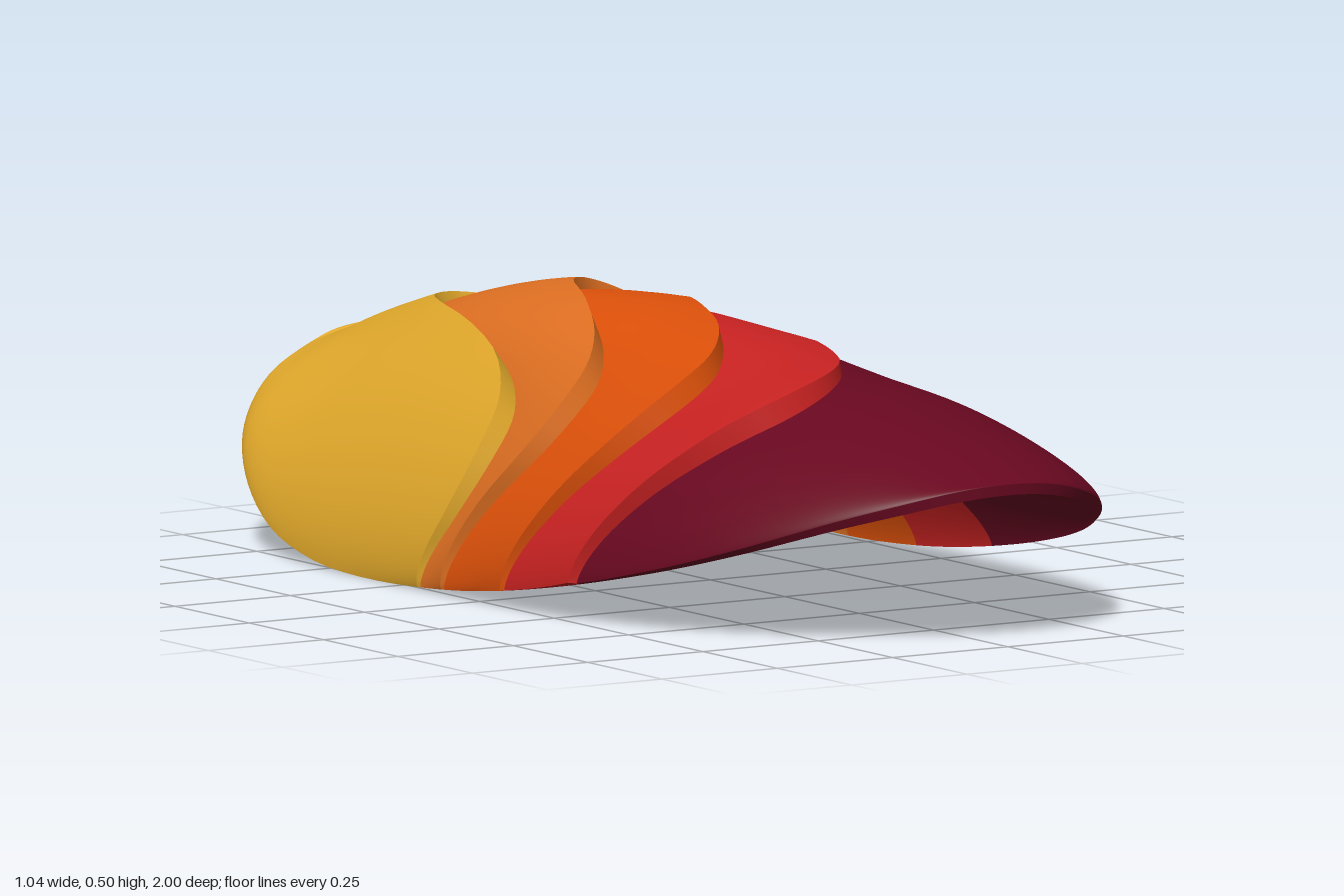
import * as THREE from 'three';
import { mergeGeometries } from 'three/addons/utils/BufferGeometryUtils.js';

const HALF_WIDTH = 0.513;
const COLS = 80;
const BODY_ROWS = 46;

// Smooth curve through [position, value] pairs
function curve(p) {
  const secant = (i) => (p[i + 1][1] - p[i][1]) / (p[i + 1][0] - p[i][0]);
  const last = p.length - 1;
  const slope = p.map((_, i) => {
    if (i === 0) return secant(0);
    if (i === last) return secant(last - 1);
    return (secant(i - 1) + secant(i)) / 2;
  });
  return (v) => {
    const x = Math.min(Math.max(v, p[0][0]), p[last][0]);
    let i = 0;
    while (i < last - 1 && x > p[i + 1][0]) i++;
    const h = p[i + 1][0] - p[i][0];
    const t = (x - p[i][0]) / h, s = 1 - t;
    return (1 + 2 * t) * s * s * p[i][1] + t * s * s * h * slope[i]
      + t * t * (3 - 2 * t) * p[i + 1][1] - t * t * s * h * slope[i + 1];
  };
}

// Height of the underside along the centre line and along the rim, by z
const crest = curve([[-1, 0.345], [-0.84, 0.395], [-0.55, 0.45], [-0.3, 0.461], [0, 0.441],
  [0.3, 0.412], [0.55, 0.392], [0.8, 0.342], [1, 0.28]]);
const rim = curve([[-1, 0.345], [-0.995, 0.315], [-0.97, 0.26], [-0.88, 0.165], [-0.72, 0.06],
  [-0.55, 0.014], [-0.4, 0.002], [-0.1, 0.012], [0.17, 0.045], [0.5, 0.11], [0.7, 0.165],
  [0.87, 0.225], [0.95, 0.256], [1, 0.28]]);

// Height of the step in front of a layer, by x: tallest on the -x side
const stepHeight = curve([[-0.515, 0.045], [-0.4, 0.045], [-0.2, 0.042], [0, 0.024], [0.2, 0.017], [0.515, 0.014]]);
const baseStepHeight = curve([[-0.515, 0.048], [-0.25, 0.05], [-0.1, 0.022], [0.1, 0.006], [0.3, 0], [0.515, 0]]);

// Half width of the outline: blunt at the back, oval at the front
function halfWidth(z) {
  const a = Math.min(Math.abs(z), 1);
  return HALF_WIDTH * (z > 0 ? Math.sqrt(1 - a ** 2.25) : (1 - a ** 5.3) ** 0.23);
}

// Wavy borders between the colour layers, z by x, from front to back
const borders = [
  [[-0.515, 0.3], [-0.4, 0.42], [-0.3, 0.5], [-0.17, 0.545], [-0.05, 0.49], [0.05, 0.36], [0.1, 0.25],
    [0.15, 0.12], [0.2, 0.02], [0.25, -0.05], [0.32, -0.075], [0.4, -0.03], [0.46, 0.05], [0.515, 0.17]],
  [[-0.515, 0.1], [-0.45, 0.18], [-0.35, 0.26], [-0.24, 0.285], [-0.15, 0.25], [-0.08, 0.17], [0, 0.03],
    [0.06, -0.12], [0.12, -0.26], [0.2, -0.34], [0.29, -0.36], [0.37, -0.32], [0.45, -0.22], [0.515, -0.1]],
  [[-0.515, -0.1], [-0.46, -0.03], [-0.4, 0.03], [-0.34, 0.05], [-0.25, 0.02], [-0.18, -0.07], [-0.1, -0.24],
    [-0.03, -0.4], [0.05, -0.5], [0.13, -0.54], [0.22, -0.55], [0.33, -0.53], [0.42, -0.465], [0.515, -0.33]],
  [[-0.515, -0.18], [-0.47, -0.12], [-0.4, -0.095], [-0.33, -0.13], [-0.27, -0.25], [-0.23, -0.4],
    [-0.19, -0.56], [-0.13, -0.7], [-0.05, -0.785], [0.03, -0.825], [0.11, -0.84], [0.2, -0.83],
    [0.3, -0.785], [0.4, -0.7], [0.47, -0.6], [0.515, -0.49]],
].map(curve);

// z where a border meets the lengthwise line u (-1 and 1 are the two long edges)
function borderZ(index, u) {
  if (index < 0) return 1;
  if (index >= borders.length) return -1;
  let lo = -1, hi = 1;
  for (let i = 0; i < 40; i++) {
    const mid = (lo + hi) / 2;
    if (mid < borders[index](u * halfWidth(mid))) lo = mid;
    else hi = mid;
  }
  return (lo + hi) / 2;
}

// Points on the underside and the outside of the arched sheet
function sheetPoints(u, z, lift) {
  const x = u * halfWidth(z);
  const arch = Math.max(0, 1 - u * u) ** 0.7;
  const y = rim(z) + (crest(z) - rim(z)) * arch;
  const nx = x / HALF_WIDTH;
  const ny = Math.sqrt(Math.max(0, 1 - nx * nx));
  const offset = 0.002 + 0.018 * ny + lift * ny;
  return { inner: [x, y, z], outer: [x + nx * offset, y + ny * offset, z] };
}

// Grid surface from a point rule
function grid(rows, cols, point, flip) {
  const position = [], index = [];
  for (let r = 0; r <= rows; r++) {
    for (let c = 0; c <= cols; c++) position.push(...point(r, c));
  }
  for (let r = 0; r < rows; r++) {
    for (let c = 0; c < cols; c++) {
      const a = r * (cols + 1) + c, b = a + 1, d = a + cols + 1, e = d + 1;
      if (flip) index.push(a, d, b, b, d, e);
      else index.push(a, b, d, b, e, d);
    }
  }
  const g = new THREE.BufferGeometry();
  g.setAttribute('position', new THREE.Float32BufferAttribute(position, 3));
  g.setIndex(index);
  g.computeVertexNormals();
  return g;
}

// One colour layer: crisp step in front, thinning towards the back
function layerGeometry(layer) {
  const isFirst = layer === 0, isLast = layer === borders.length;
  const height = isLast ? baseStepHeight : stepHeight;
  const columns = [];
  for (let c = 0; c <= COLS; c++) {
    const u = Math.sin((c / COLS - 0.5) * Math.PI);
    const front = borderZ(layer - 1, u), back = borderZ(layer, u);
    const start = isFirst ? front : front - Math.min(0.01, 0.2 * (front - back));
    const step = isFirst ? 0 : height(u * halfWidth(front));
    const column = [sheetPoints(u, front, 0)];
    for (let r = 0; r <= BODY_ROWS; r++) {
      const t = r / BODY_ROWS;
      let s = t;
      if (isFirst) s = t * t;
      if (isLast) s = 1 - (1 - t) ** 4;
      column.push(sheetPoints(u, start + (back - start) * s, step * (1 - s)));
    }
    columns.push(column);
  }
  const rows = BODY_ROWS + 1;
  const edge = (col, flip) => grid(rows, 1, (r, c) => (c ? col[r].inner : col[r].outer), flip);
  const parts = [
    grid(BODY_ROWS, COLS, (r, c) => columns[c][r + 1].outer, false),
    grid(rows, COLS, (r, c) => columns[c][r].inner, true),
    edge(columns[COLS], false),
    edge(columns[0], true),
  ];
  if (!isFirst) parts.push(grid(1, COLS, (r, c) => columns[c][r].outer, false));
  return mergeGeometries(parts);
}

export function createModel() {
  const group = new THREE.Group();
  group.name = 'layeredShell';
  const layers = [
    ['tipLayer', 'burgundy', 0x680820],
    ['secondLayer', 'red', 0xca2222],
    ['thirdLayer', 'deepOrange', 0xde510a],
    ['fourthLayer', 'lightOrange', 0xe07022],
    ['baseLayer', 'golden', 0xe2a92b],
  ];
  layers.forEach(([name, colourName, color], i) => {
    const material = new THREE.MeshStandardMaterial({ color });
    material.name = colourName;
    const mesh = new THREE.Mesh(layerGeometry(i), material);
    mesh.name = name;
    group.add(mesh);
  });
  return group;
}
